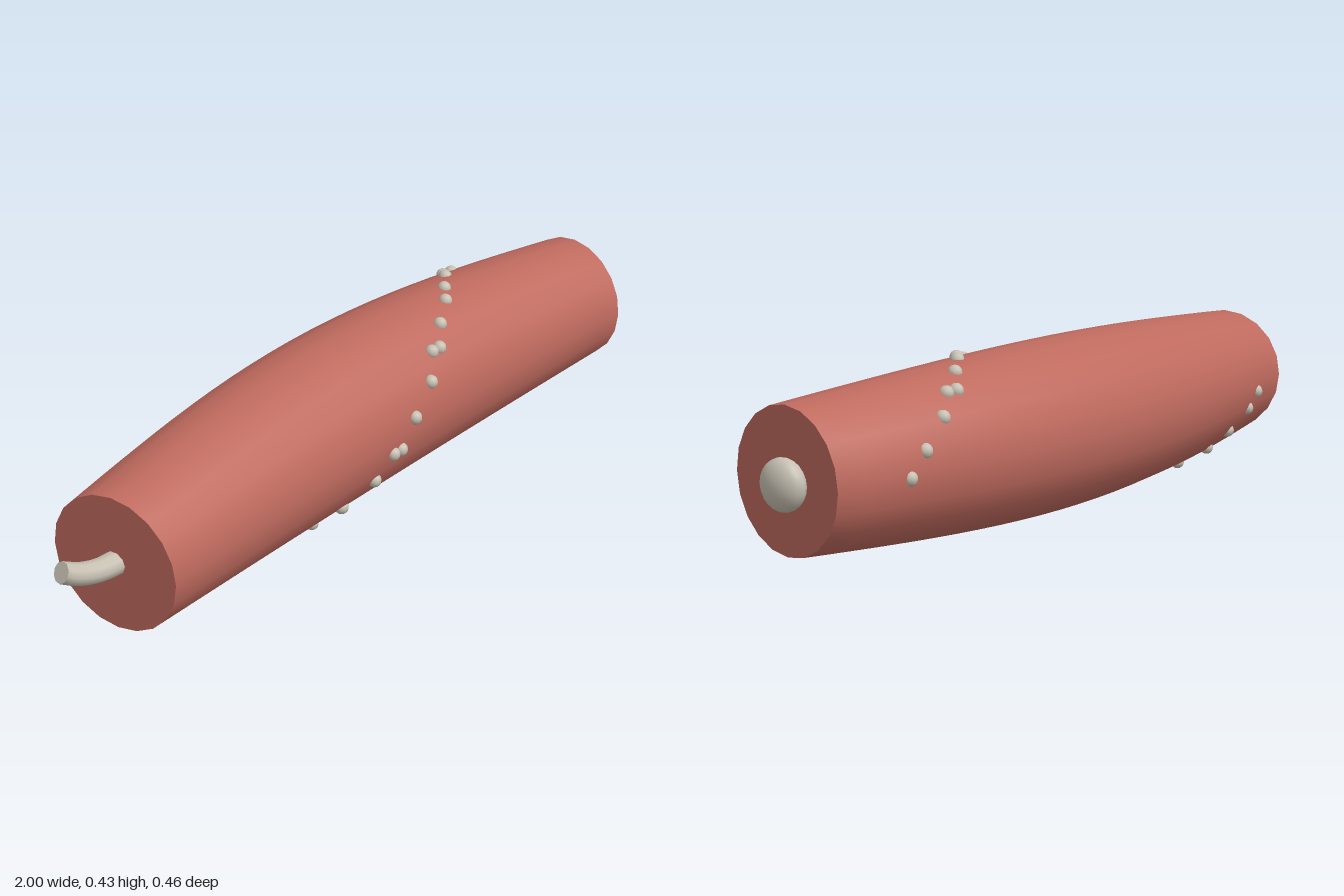
import * as THREE from 'three';

const SIDES = 20;

// Point on a ring of the given radius around centre c, square to tangent t
function ringPoint(c, t, r, a) {
  const n = new THREE.Vector3(0, 1, 0).addScaledVector(t, -t.y).normalize();
  const b = new THREE.Vector3().crossVectors(t, n);
  return c.clone().addScaledVector(b, r * Math.cos(a)).addScaledVector(n, r * Math.sin(a));
}

// Round sweep along a path, smooth along the side with sharp flat caps
function sweep(frame, segments, sides) {
  const pos = [], idx = [];
  const addRing = (u) => {
    const { c, t, r } = frame(u);
    for (let j = 0; j < sides; j++) pos.push(...ringPoint(c, t, r, (j / sides) * Math.PI * 2).toArray());
  };
  for (let i = 0; i <= segments; i++) addRing(i / segments);
  for (let i = 0; i < segments; i++) {
    for (let j = 0; j < sides; j++) {
      const k = (j + 1) % sides, p = i * sides, q = p + sides;
      idx.push(p + j, q + j, p + k, p + k, q + j, q + k);
    }
  }
  for (const end of [0, 1]) {
    const p = pos.length / 3;
    addRing(end);
    pos.push(...frame(end).c.toArray());
    for (let j = 0; j < sides; j++) {
      const k = (j + 1) % sides;
      idx.push(p + sides, p + (end ? k : j), p + (end ? j : k));
    }
  }
  const g = new THREE.BufferGeometry();
  g.setAttribute('position', new THREE.Float32BufferAttribute(pos, 3));
  g.setIndex(idx);
  g.computeVertexNormals();
  return g;
}

// Gently bowed, barrel-shaped body
function bodyFrame(s) {
  const u = 2 * s - 1, k = Math.PI / 2;
  const c = new THREE.Vector3(-0.845 + 1.78 * s, 0.222, -0.02 + 0.07 * (1 - Math.cos(k * u)) + 0.01 * u);
  const t = new THREE.Vector3(0.89, 0, 0.07 * k * Math.sin(k * u) + 0.01).normalize();
  return { c, t, r: 0.168 + 0.043 * Math.cos(k * u) };
}

// Bead stations: x position and angle in degrees (0 = front, 90 = top)
const BEADS = [
  [-0.7, -173], [-0.655, -160], [-0.575, -143], [-0.52, -126], [-0.44, -109],
  [-0.38, -93], [-0.35, -92], [-0.3, -79], [-0.22, -61], [-0.165, -43], [-0.08, -26],
  [-0.03, -9], [0, -9], [0.055, 9], [0.14, 26], [0.19, 44], [0.22, 44], [0.275, 59],
  [0.36, 75], [0.41, 88], [0.49, 107], [0.545, 125], [0.575, 125], [0.63, 143],
  [0.71, 163], [0.76, 180],
];

export function createModel() {
  const red = new THREE.MeshStandardMaterial({ name: 'brick red', color: 0xbf6a5e });
  const ivory = new THREE.MeshStandardMaterial({ name: 'warm grey', color: 0xc6c0b2 });
  const model = new THREE.Group();
  const add = (name, geometry, material, parent = model) => {
    const mesh = new THREE.Mesh(geometry, material);
    mesh.name = name;
    parent.add(mesh);
    return mesh;
  };

  add('body', sweep(bodyFrame, 24, SIDES), red);

  // Spiral of small beads half sunk in the body
  const beads = new THREE.Group();
  beads.name = 'beadSpiral';
  model.add(beads);
  const beadGeometry = new THREE.SphereGeometry(0.018, 10, 8);
  for (const [x, degrees] of BEADS) {
    const { c, t, r } = bodyFrame((x + 0.845) / 1.78);
    const bead = add('bead', beadGeometry, ivory, beads);
    bead.position.copy(ringPoint(c, t, r - 0.004, THREE.MathUtils.degToRad(degrees)));
    bead.position.x = x;
  }

  // Flattened knob on one end
  const knob = add('endKnob', new THREE.SphereGeometry(0.06, 16, 12), ivory);
  knob.scale.x = 0.6;
  knob.position.set(0.963, 0.222, 0.043);

  // Short curved stem on the other end
  const path = new THREE.CatmullRomCurve3([
    new THREE.Vector3(-0.82, 0.222, 0.04), new THREE.Vector3(-0.89, 0.227, 0.038),
    new THREE.Vector3(-0.945, 0.242, 0.032), new THREE.Vector3(-0.988, 0.264, 0.024),
  ]);
  const stemFrame = (s) => ({ c: path.getPointAt(s), t: path.getTangentAt(s), r: 0.03 - 0.005 * s });
  add('stem', sweep(stemFrame, 10, 10), ivory);

  return model;
}
